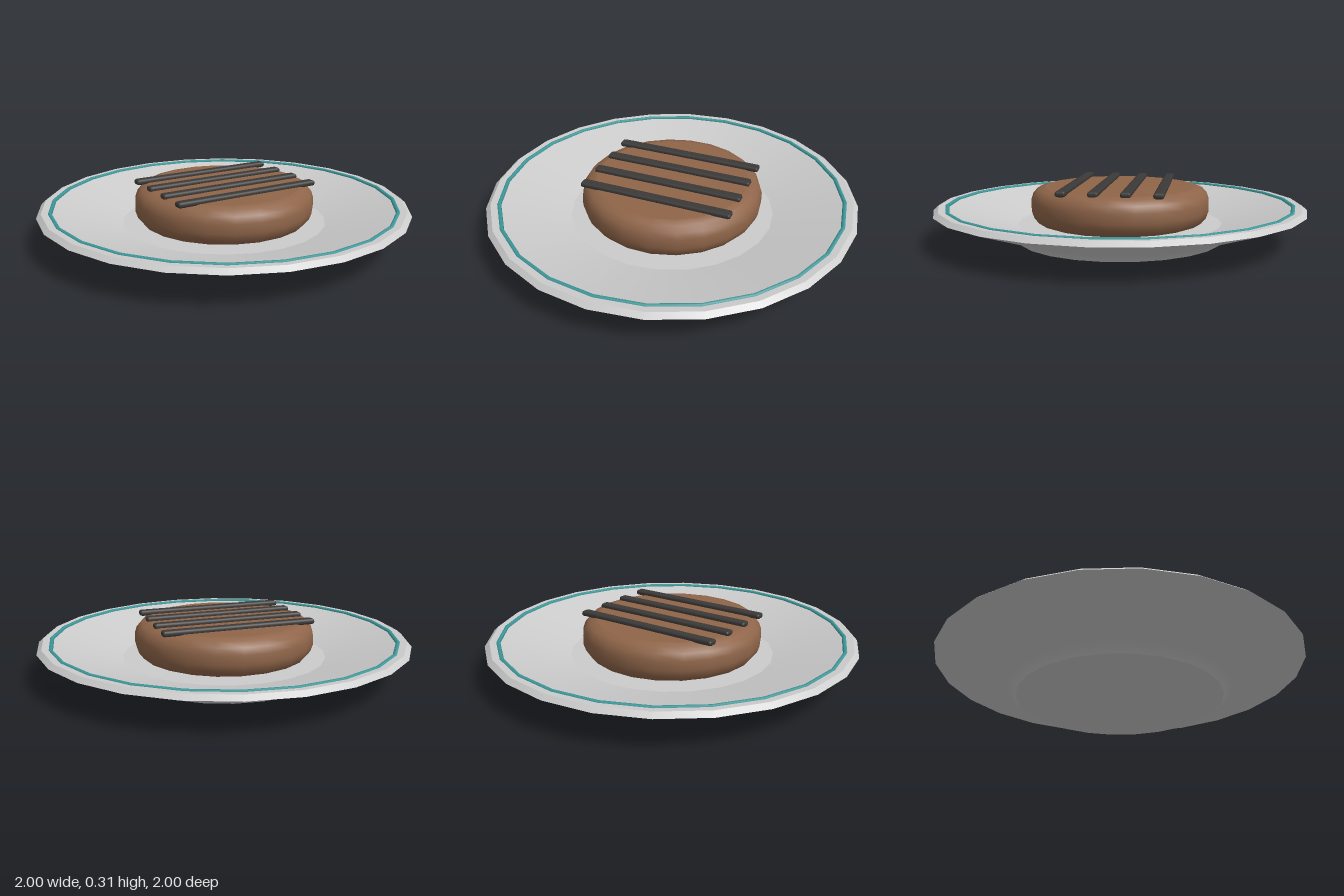
import * as THREE from 'three';
import { RoundedBoxGeometry } from 'three/addons/geometries/RoundedBoxGeometry.js';
import { mergeGeometries } from 'three/addons/utils/BufferGeometryUtils.js';

const material = (color) => new THREE.MeshStandardMaterial({ color });

// Lathe made of separate bands: smooth inside each band, sharp between bands
function bandedLathe(bands, segments, start = 0) {
  return mergeGeometries(bands.map((band) => new THREE.LatheGeometry(
    band.map(([r, y]) => new THREE.Vector2(r, y)), segments, start)));
}

export function createModel() {
  const group = new THREE.Group();
  const add = (name, geometry, color, parent = group) => {
    const mesh = new THREE.Mesh(geometry, material(color));
    mesh.name = name;
    parent.add(mesh);
    return mesh;
  };

  // Plate: foot, sloping underside, bevelled rim, inner slope and flat well
  add('plate', bandedLathe([
    [[0, 0], [0.56, 0]],
    [[0.56, 0], [0.605, 0.04], [1, 0.175]],
    [[1, 0.175], [0.975, 0.197]],
    [[0.975, 0.197], [0.94, 0.195]],
    [[0.94, 0.195], [0.555, 0.09]],
    [[0.555, 0.09], [0, 0.09]],
  ], 24), 0xcccccc);

  // Coloured line inside the rim
  const ring = add('rimStripe', new THREE.TorusGeometry(0.93, 0.012, 6, 24), 0x3f9a9c);
  ring.rotation.x = -Math.PI / 2;
  ring.position.y = 0.19;

  // Patty with rounded edges
  add('patty', bandedLathe([
    [[0, 0.085], [0.41, 0.085]],
    [[0.41, 0.085], [0.45, 0.1], [0.475, 0.13], [0.487, 0.165], [0.487, 0.215],
      [0.475, 0.25], [0.45, 0.278], [0.41, 0.288]],
    [[0.41, 0.288], [0, 0.29]],
  ], 22, Math.PI / 2), 0x8f6549);

  // Grill marks across the top
  const marks = new THREE.Group();
  marks.name = 'grillMarks';
  group.add(marks);
  for (let i = 0; i < 4; i++) {
    const bar = add('grillMark', new RoundedBoxGeometry(0.83, 0.03, 0.055, 1, 0.013), 0x3c3a38, marks);
    bar.position.set(0, 0.295, -0.244 + i * 0.163);
  }
  return group;
}
